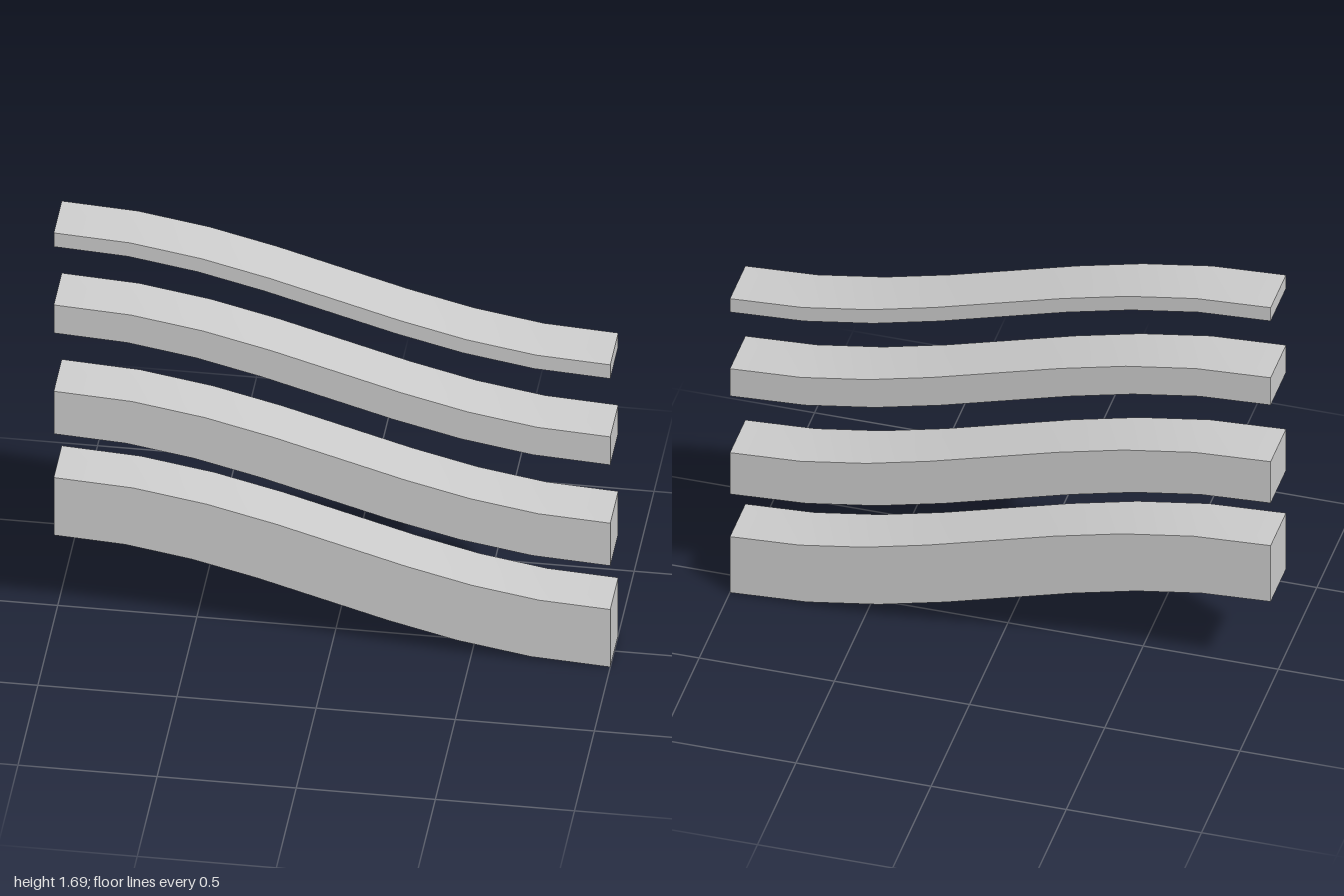
import * as THREE from 'three';
import { toCreasedNormals } from 'three/addons/utils/BufferGeometryUtils.js';

const DROP = 0.375;   // fall of each bar from its right end to its left end
const DEPTH = 0.2;
const SEGMENTS = 8;

// S-shaped band of even thickness, offset square to its centre line
function wavyBar(name, topY, thickness, material) {
  const yEnd = topY - thickness / 2;
  const line = new THREE.CubicBezierCurve(
    new THREE.Vector2(-1, yEnd + DROP),
    new THREE.Vector2(-0.25, yEnd + DROP),
    new THREE.Vector2(0.25, yEnd),
    new THREE.Vector2(1, yEnd)
  );
  const upper = [], lower = [];
  for (let i = 0; i <= SEGMENTS; i++) {
    const p = line.getPoint(i / SEGMENTS);
    const t = line.getTangent(i / SEGMENTS);
    const n = i === 0 || i === SEGMENTS
      ? new THREE.Vector2(0, 1)
      : new THREE.Vector2(-t.y, t.x);
    upper.push(p.clone().addScaledVector(n, thickness / 2));
    lower.push(p.clone().addScaledVector(n, -thickness / 2));
  }
  const shape = new THREE.Shape([...lower, ...upper.reverse()]);
  const geometry = new THREE.ExtrudeGeometry(shape, { depth: DEPTH, bevelEnabled: false });
  geometry.translate(0, 0, -DEPTH / 2);
  const mesh = new THREE.Mesh(toCreasedNormals(geometry, 0.6), material);
  mesh.name = name;
  return mesh;
}

export function createModel() {
  const group = new THREE.Group();
  group.name = 'wavyBars';
  const material = new THREE.MeshStandardMaterial({ color: 0xcccccc });

  // Four stacked bars, thinner towards the top: name, top height at the low end, thickness
  const bars = [
    ['bottomBar', 0.25, 0.25],
    ['lowerMiddleBar', 0.625, 0.185],
    ['upperMiddleBar', 1.0, 0.122],
    ['topBar', 1.313, 0.06],
  ];
  for (const [name, topY, thickness] of bars) group.add(wavyBar(name, topY, thickness, material));
  return group;
}
